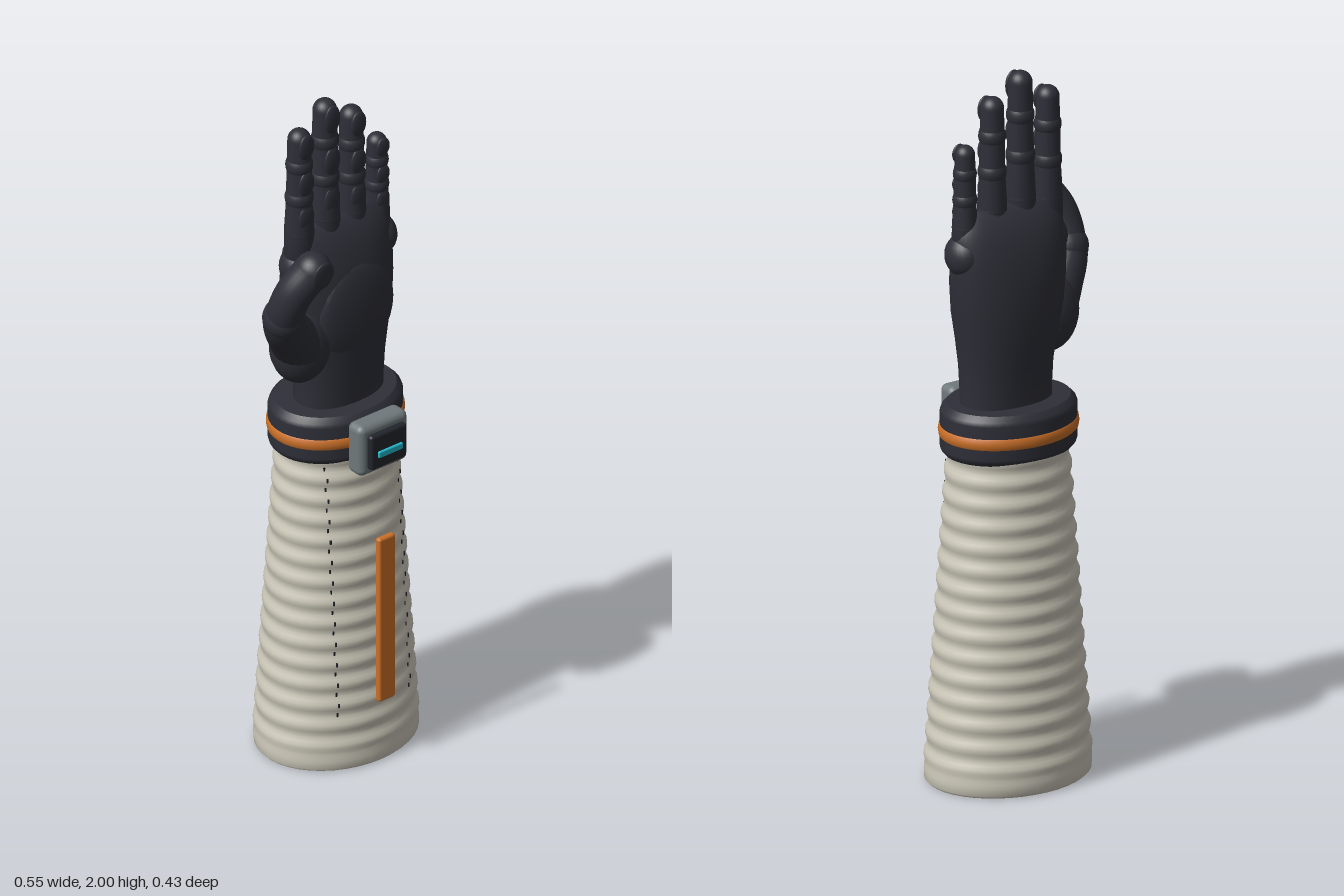
import * as THREE from 'three';
import { RoundedBoxGeometry } from 'three/addons/geometries/RoundedBoxGeometry.js';

const mat = (name, color) => {
  const m = new THREE.MeshStandardMaterial({ color });
  m.name = name;
  return m;
};

// Closed skin through oval sections [y, cx, rx, cz, rz]; power > 2 squares the oval off.
function loft(sections, n = 40, power = 2) {
  const pos = [], idx = [];
  const ring = ([y, cx, rx, cz, rz]) => {
    for (let i = 0; i < n; i++) {
      const a = (i / n) * Math.PI * 2, c = Math.cos(a), s = Math.sin(a);
      pos.push(cx + rx * Math.sign(c) * Math.abs(c) ** (2 / power), y,
        cz + rz * Math.sign(s) * Math.abs(s) ** (2 / power));
    }
  };
  sections.forEach(ring);
  for (let k = 0; k < sections.length - 1; k++) {
    for (let i = 0; i < n; i++) {
      const a = k * n + i, b = k * n + ((i + 1) % n);
      idx.push(a, a + n, b, b, a + n, b + n);
    }
  }
  // end caps with their own vertices, so the rims stay sharp
  [sections[0], sections[sections.length - 1]].forEach((s, end) => {
    const base = pos.length / 3;
    ring(s);
    pos.push(s[1], s[0], s[3]);
    for (let i = 0; i < n; i++) {
      const a = base + i, b = base + ((i + 1) % n);
      if (end) idx.push(b, a, base + n);
      else idx.push(a, b, base + n);
    }
  });
  const g = new THREE.BufferGeometry();
  g.setAttribute('position', new THREE.Float32BufferAttribute(pos, 3));
  g.setIndex(idx);
  g.computeVertexNormals();
  return g;
}

export function createModel() {
  const fabric = mat('sleeve fabric', 0xcdc9ba);
  const dark = mat('dark glove', 0x2e2f38);
  const orange = mat('orange trim', 0xcb7028);
  const grey = mat('grey casing', 0x6f787b);
  const black = mat('dark screen', 0x22252c);
  const cyan = mat('cyan light', 0x22b8cc);

  const model = new THREE.Group();
  model.name = 'glovedForearm';
  const add = (name, geo, material, p = [0, 0, 0], parent = model) => {
    const m = new THREE.Mesh(geo, material);
    m.name = name;
    m.position.set(...p);
    parent.add(m);
    return m;
  };
  const ball = (name, p, r, parent = model) => {
    const m = add(name, new THREE.SphereGeometry(1, 24, 16), dark, p, parent);
    m.scale.set(...r);
    return m;
  };

  // Sleeve: tapered oval with shallow ripples
  const sleeveSize = (y) => {
    const t = y / 0.96;
    const w = y < 0.06 ? 0 : 0.004 * Math.sin(((y - 0.06) / 0.062) * Math.PI * 2);
    return [0.241 - 0.07 * t + w, 0.199 - 0.051 * t + w];
  };
  const sections = [[0, 0.032, 0.23, -0.015, 0.188], [0.008, 0.032, 0.238, -0.015, 0.196]];
  for (let y = 0.03; y < 0.965; y += 0.0103) {
    const [rx, rz] = sleeveSize(y);
    sections.push([y, 0.032, rx, -0.016, rz]);
  }
  add('sleeve', loft(sections, 40), fabric);

  // Stitch seams: short dashes on the front of the sleeve
  const seams = new THREE.Group();
  seams.name = 'sleeveSeams';
  model.add(seams);
  const dash = new THREE.BoxGeometry(0.004, 0.012, 0.004);
  for (const side of [-1, 1]) {
    for (let y = 0.17; y < 0.93; y += 0.031) {
      const [rx, rz] = sleeveSize(y);
      const z = rz * Math.sqrt(1 - (0.124 / rx) ** 2);
      add('stitch', dash, black, [0.032 + side * 0.124, y, -0.016 + z], seams);
    }
  }

  // Strip standing off the sleeve front
  add('orangeStrip', new RoundedBoxGeometry(0.058, 0.51, 0.02, 3, 0.008), orange, [0.03, 0.456, 0.194]);

  // Wrist cuff with its trim band
  const oval = (y, inset) => [y, 0.03, 0.197 - inset, -0.016, 0.158 - inset];
  add('cuff', loft([oval(0.935, 0.012), oval(0.945, 0.003), oval(0.955, 0), oval(1.05, 0),
    oval(1.062, 0.004), oval(1.076, 0.018)], 48), dark);
  add('cuffBand', loft([oval(0.982, 0.002), oval(0.987, -0.003), oval(1.0, -0.005),
    oval(1.013, -0.003), oval(1.018, 0.002)], 48), orange);

  // Wrist display
  add('displayCasing', new RoundedBoxGeometry(0.17, 0.155, 0.062, 4, 0.02), grey, [0.031, 0.993, 0.16]);
  add('displayScreen', new RoundedBoxGeometry(0.126, 0.106, 0.022, 4, 0.009), black, [0.031, 0.993, 0.199]);
  add('displayLight', new RoundedBoxGeometry(0.084, 0.02, 0.009, 3, 0.004), cyan, [0.032, 0.986, 0.213]);

  // Palm
  const palm = [
    [1.06, 0.036, 0.134, -0.012, 0.088], [1.1, 0.036, 0.133, -0.011, 0.088],
    [1.18, 0.036, 0.136, -0.011, 0.094], [1.26, 0.034, 0.148, -0.012, 0.102],
    [1.34, 0.032, 0.163, -0.012, 0.107], [1.42, 0.031, 0.171, -0.013, 0.104],
    [1.49, 0.031, 0.174, -0.014, 0.094], [1.55, 0.032, 0.172, -0.014, 0.078],
    [1.59, 0.032, 0.162, -0.013, 0.058], [1.62, 0.032, 0.142, -0.012, 0.035],
    [1.63, 0.032, 0.12, -0.012, 0.018],
  ];
  add('palm', loft(palm, 48, 2.3), dark);
  ball('palmPad', [0.034, 1.36, 0.066], [0.127, 0.15, 0.033]);
  ball('indexKnuckle', [-0.105, 1.51, -0.01], [0.05, 0.06, 0.055]);
  ball('littleKnuckle', [0.172, 1.51, -0.01], [0.05, 0.06, 0.058]);

  // Fingers: [name, x, tip height, radius]
  const fingers = [['indexFinger', -0.102, 1.94, 0.036], ['middleFinger', -0.013, 2.0, 0.037],
    ['ringFinger', 0.079, 1.945, 0.036], ['littleFinger', 0.168, 1.825, 0.031]];
  for (const [name, x, tip, r] of fingers) {
    const finger = new THREE.Group();
    finger.name = name;
    finger.position.set(x, 1.5, -0.009);
    model.add(finger);
    const h = tip - 1.5, rt = r * 0.89;
    const profile = [[0, 0], [r * 1.15, 0], [r * 1.13, h * 0.3], [r, h * 0.48], [r * 0.95, h * 0.7], [rt, h - rt]]
      .map((p) => new THREE.Vector2(...p));
    for (let i = 1; i <= 8; i++) {
      const a = (i / 8) * Math.PI / 2;
      profile.push(new THREE.Vector2(i === 8 ? 0 : rt * Math.cos(a), h - rt + rt * Math.sin(a)));
    }
    add('fingerShaft', new THREE.LatheGeometry(profile, 24), dark, [0, 0, 0], finger);
    // joints and grip pads
    for (const t of [0.28, 0.52, 0.75]) {
      const k = r * (1.2 - t * 0.2);
      ball('fingerJoint', [0, h * t, 0], [k, k, k], finger);
    }
    for (const t of [0.4, 0.64, 0.9]) {
      ball('fingerPad', [0, h * t, r * 0.86], [r * 0.72, h * 0.085, r * 0.25], finger);
    }
  }

  // Thumb: overlapping balls along a curve, joined by a tapered skin
  const thumb = new THREE.Group();
  thumb.name = 'thumb';
  model.add(thumb);
  ball('thumbBase', [-0.115, 1.285, 0.012], [0.09, 0.115, 0.078], thumb);
  const path = new THREE.CatmullRomCurve3([[-0.11, 1.27, 0.01], [-0.165, 1.34, 0.035], [-0.218, 1.42, 0.066],
    [-0.215, 1.52, 0.105], [-0.172, 1.592, 0.134]].map((p) => new THREE.Vector3(...p)));
  const steps = 32, sides = 24;
  const skin = new THREE.TubeGeometry(path, steps, 1, sides, false);
  const pos = skin.attributes.position;
  const v = new THREE.Vector3(), c = new THREE.Vector3();
  const radius = (t) => 0.052 + 0.026 * Math.max(0, 1 - t * 1.8);
  for (let i = 0; i < pos.count; i++) {
    const t = Math.floor(i / (sides + 1)) / steps;
    path.getPointAt(t, c);
    v.fromBufferAttribute(pos, i).sub(c).multiplyScalar(radius(t)).add(c);
    pos.setXYZ(i, v.x, v.y, v.z);
  }
  add('thumbShaft', skin, dark, [0, 0, 0], thumb);
  ball('thumbJoint', [-0.22, 1.43, 0.068], [0.058, 0.058, 0.058], thumb);
  ball('thumbTip', [-0.172, 1.592, 0.134], [0.052, 0.052, 0.052], thumb);
  const pad = ball('thumbPad', [-0.173, 1.592, 0.178], [0.036, 0.044, 0.009], thumb);
  pad.rotation.x = 0.15;

  return model;
}
